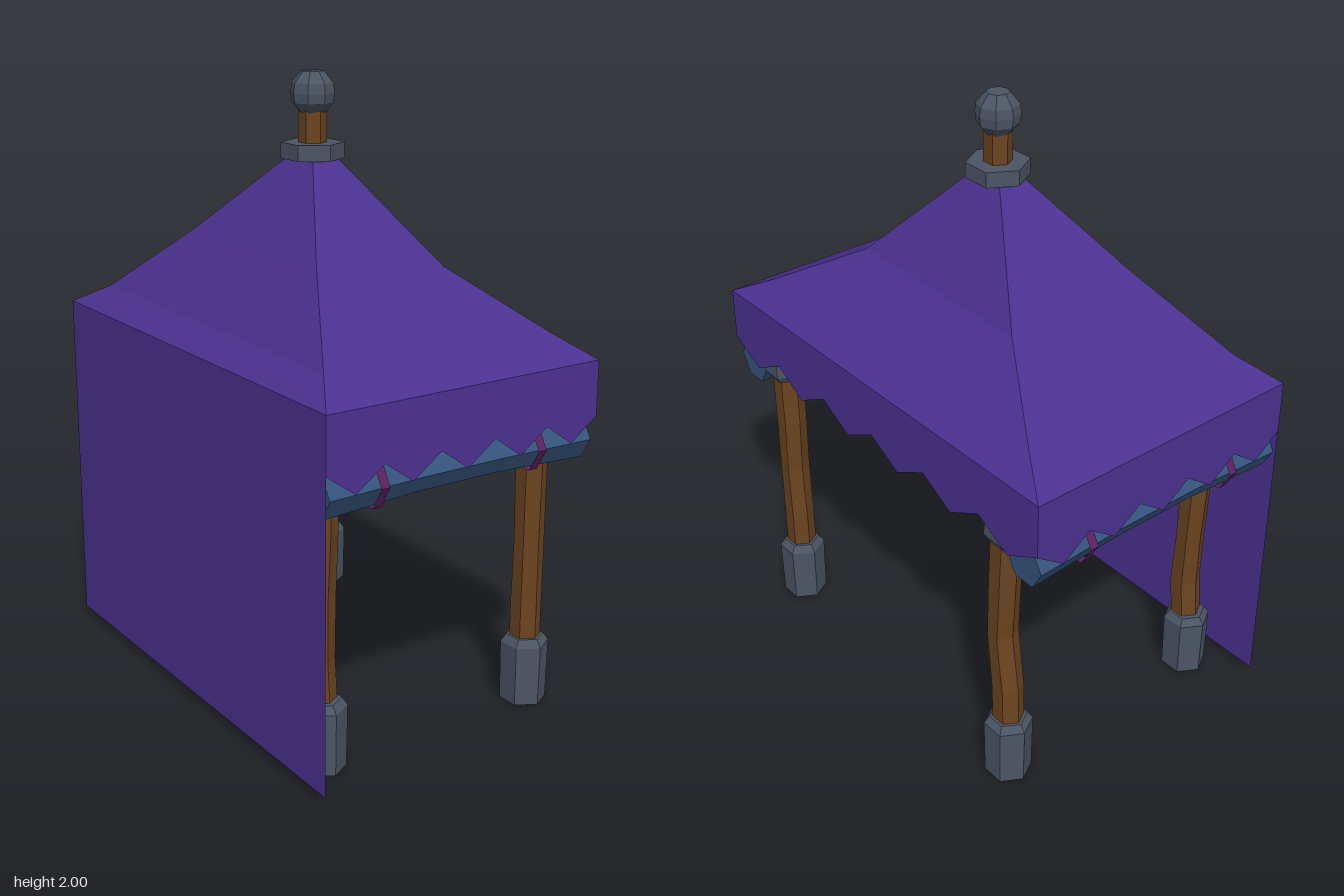
import * as THREE from 'three';

const paint = (name, color, side = THREE.FrontSide) =>
  new THREE.MeshStandardMaterial({ name, color, side, flatShading: true });

export function createModel() {
  const group = new THREE.Group();
  const cloth = paint('purple cloth', 0x4b3190, THREE.DoubleSide);
  const wood = paint('brown wood', 0x6b4420);
  const stone = paint('grey stone', 0x4b5564);
  const blue = paint('blue beam', 0x35547c);
  const plum = paint('plum strap', 0x5c2162, THREE.DoubleSide);

  const add = (name, geometry, material, x = 0, y = 0, z = 0) => {
    const mesh = new THREE.Mesh(geometry, material);
    mesh.name = name;
    mesh.position.set(x, y, z);
    group.add(mesh);
    return mesh;
  };
  const lathe = (points, sides) =>
    new THREE.LatheGeometry(points.map(p => new THREE.Vector2(...p)), sides);

  // Roof: four-cornered rings, sagging more on the left side
  // each ring: [x right, x left, z, y right, y left]
  const rings = [
    [-0.492, 0.492, 0.785, 1.18, 1.18],
    [-0.41, 0.41, 0.65, 1.25, 1.25],
    [-0.24, 0.23, 0.36, 1.475, 1.42],
    [-0.055, 0.03, 0.06, 1.74, 1.74],
  ].map(([x0, x1, z, y0, y1]) => [[x0, y0, z], [x1, y1, z], [x1, y1, -z], [x0, y0, -z]]);
  const roof = [];
  for (let r = 0; r < rings.length - 1; r++) {
    for (let i = 0; i < 4; i++) {
      const j = (i + 1) % 4;
      const [a, b, c, d] = [rings[r][i], rings[r][j], rings[r + 1][j], rings[r + 1][i]];
      roof.push(...a, ...b, ...c, ...a, ...c, ...d);
    }
  }
  const roofGeometry = new THREE.BufferGeometry();
  roofGeometry.setAttribute('position', new THREE.Float32BufferAttribute(roof, 3));
  roofGeometry.computeVertexNormals();
  add('roof', roofGeometry, cloth);

  // Zigzag valances on three sides
  const valance = (width, teeth) => {
    const s = new THREE.Shape();
    s.moveTo(width / 2, 1.18);
    s.lineTo(-width / 2, 1.18);
    for (let i = 0; i <= teeth * 2; i++) {
      s.lineTo(-width / 2 + (width * i) / (teeth * 2), i % 2 ? 0.935 : 1.005);
    }
    return new THREE.ShapeGeometry(s);
  };
  add('frontValance', valance(0.984, 5), cloth, 0, 0, 0.785);
  add('backValance', valance(0.984, 5), cloth, 0, 0, -0.785).rotation.y = Math.PI;
  add('leftValance', valance(1.57, 6), cloth, 0.492).rotation.y = Math.PI / 2;

  // Full-height cloth wall on the right side
  add('sideWall', new THREE.PlaneGeometry(1.57, 1.15), cloth, -0.492, 0.605, 0)
    .rotation.y = -Math.PI / 2;

  // Finial
  const cx = -0.015;
  add('finialCollar', new THREE.CylinderGeometry(0.1, 0.1, 0.05, 6), stone, cx, 1.755);
  add('finialPost', new THREE.CylinderGeometry(0.045, 0.045, 0.14, 6), wood, cx, 1.83);
  add('finialKnob', lathe([[0, -0.068], [0.036, -0.066], [0.066, -0.03], [0.07, 0],
    [0.066, 0.03], [0.036, 0.066], [0, 0.068]], 8), stone, cx, 1.932);

  // Slightly crooked post; bends holds z offsets from bottom to top
  const postGeometry = bends => {
    const n = bends.length - 1;
    const h = 0.8;
    const g = new THREE.CylinderGeometry(0.05, 0.05, h, 6, n);
    const p = g.attributes.position;
    for (let i = 0; i < p.count; i++) {
      const level = Math.round((p.getY(i) / h + 0.5) * n);
      const pinch = level === 2 ? 0.9 : 1;
      p.setZ(i, p.getZ(i) * pinch + bends[level]);
    }
    return g;
  };
  const footProfile = [[0, 0], [0.075, 0], [0.078, 0.2], [0.06, 0.225], [0, 0.225]];
  const capProfile = [[0, 0], [0.06, 0], [0.076, 0.025], [0.074, 0.2], [0, 0.2]];
  const posts = [
    ['frontLeft', 0.422, 0.583, [0, 0, 0.003, 0, 0.003]],
    ['backLeft', 0.422, -0.583, [-0.002, 0.004, 0.028, 0.02, 0.01]],
    ['frontRight', -0.37, 0.583, [0, -0.018, -0.012, -0.004, 0]],
    ['backRight', -0.37, -0.583, [0, 0.02, 0.012, 0.006, 0]],
  ];
  for (const [name, x, z, bends] of posts) {
    add(name + 'Post', postGeometry(bends), wood, x, 0.55, z);
    add(name + 'Foot', lathe(footProfile, 6), stone, x, 0, z);
    add(name + 'Capital', lathe(capProfile, 6), stone, x, 0.918, z);
  }

  // Hexagonal cross beams, thinner in the middle, with straps
  for (const [name, z] of [['front', 0.708], ['back', -0.708]]) {
    const beam = lathe([[0, -0.48], [0.077, -0.48], [0.061, -0.15], [0.061, 0.15],
      [0.075, 0.475], [0, 0.475]], 6);
    beam.rotateZ(-Math.PI / 2);
    add(name + 'Beam', beam, blue, 0, 0.932, z);
    for (const x of [-0.295, 0.278]) {
      const strap = new THREE.CylinderGeometry(0.081, 0.081, 0.03, 6, 1, true);
      strap.rotateZ(Math.PI / 2);
      add(name + 'Strap', strap, plum, x, 0.934, z);
    }
  }

  return group;
}
